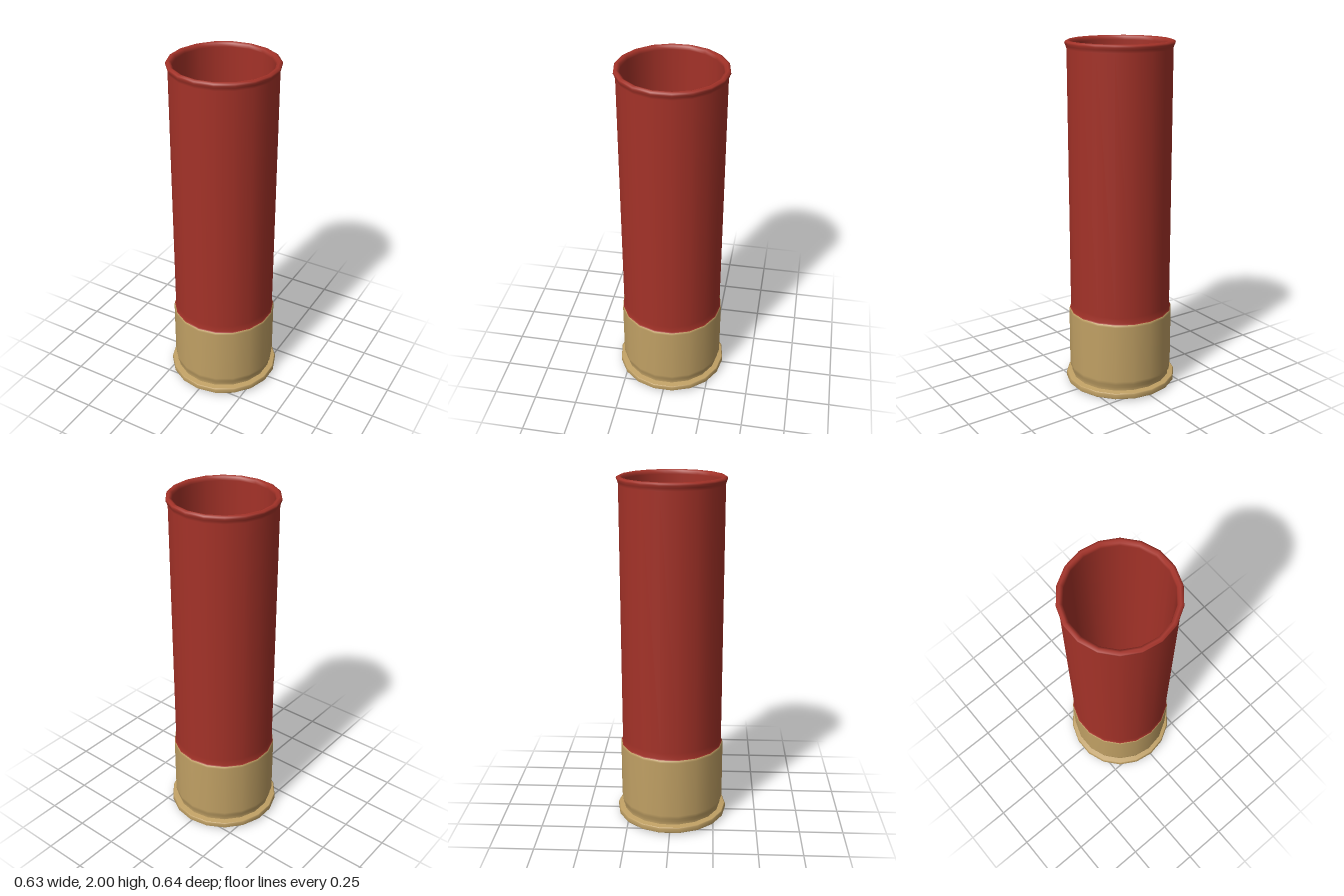
import * as THREE from 'three';

const SIDES = 18;

export function createModel() {
  const group = new THREE.Group();
  const material = (name, color) => {
    const m = new THREE.MeshStandardMaterial({ color });
    m.name = name;
    return m;
  };
  const red = material('red plastic', 0xa43228);
  const brass = material('brass', 0xc0a064);
  const dark = material('dark interior', 0x260f0f);

  // Each part is a profile of [radius, height] turned around the y axis
  const turn = (name, mat, profile) => {
    const points = profile.map(([r, y]) => new THREE.Vector2(r, y));
    const mesh = new THREE.Mesh(new THREE.LatheGeometry(points, SIDES), mat);
    mesh.name = name;
    group.add(mesh);
  };

  // Primer button, slightly proud of the base
  turn('primer', brass, [[0, 0], [0.1, 0], [0.113, 0.004], [0.118, 0.02]]);

  // Flat underside with a shallow recess around the primer
  turn('base', brass, [[0.116, 0.022], [0.125, 0.02], [0.145, 0.01], [0.16, 0.009], [0.305, 0.009], [0.317, 0.011]]);

  // Rim flange
  turn('rim', brass, [[0.317, 0.011], [0.322, 0.016], [0.322, 0.04], [0.317, 0.045]]);
  turn('rimTop', brass, [[0.317, 0.045], [0.288, 0.05]]);

  // Extraction groove and metal head
  turn('head', brass, [
    [0.288, 0.05], [0.288, 0.068], [0.298, 0.09], [0.3, 0.11],
    [0.3, 0.445], [0.298, 0.458], [0.289, 0.462],
  ]);

  // Hull wall with a rolled lip and a hollow inside
  turn('hull', red, [
    [0.297, 0.458], [0.291, 0.464], [0.29, 0.5], [0.29, 1.955],
    [0.295, 1.972], [0.301, 1.984], [0.299, 1.994], [0.285, 2],
    [0.271, 1.993], [0.267, 1.975], [0.267, 0.12],
  ]);

  // Floor at the bottom of the hollow
  turn('hullFloor', dark, [[0.268, 0.12], [0, 0.12]]);

  return group;
}
